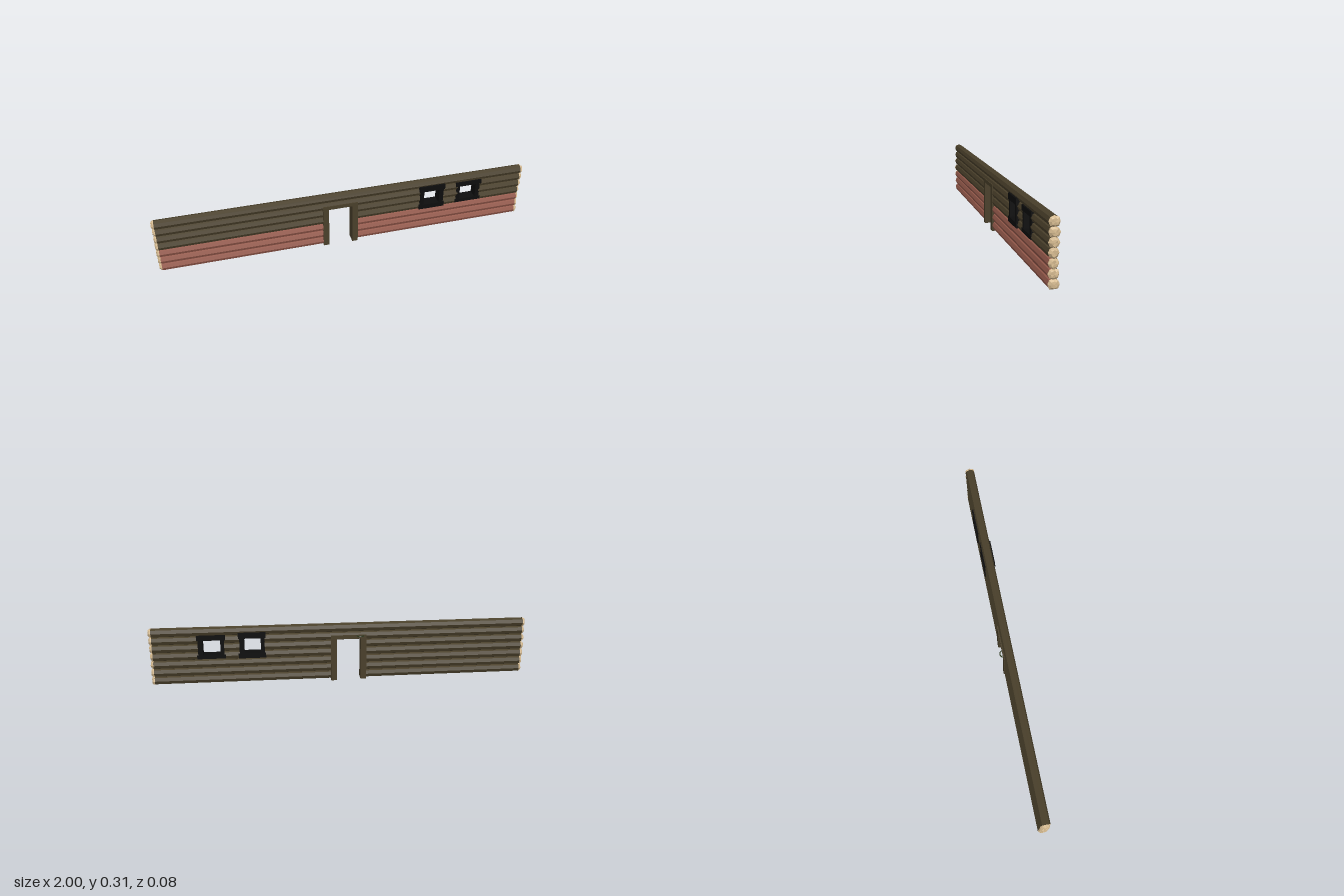
import * as THREE from 'three';

const mat = (name, color, extra = {}) => {
  const m = new THREE.MeshStandardMaterial({ color, flatShading: true, ...extra });
  m.name = name;
  return m;
};

export function createModel() {
  const wood = mat('dark wood', 0x493f2a, { side: THREE.DoubleSide });
  const red = mat('red paint', 0x93584a, { side: THREE.DoubleSide });
  const cut = mat('cut wood', 0xd4b98f, { side: THREE.DoubleSide });
  const black = mat('black frame', 0x0d0d0d);
  const green = mat('green metal', 0x2d3a1c);

  const root = new THREE.Group();
  root.name = 'logWall';
  const Z = 0.004, R = 0.0245, PITCH = 0.0435, Y0 = 0.029, END = 0.984;

  const add = (parent, name, geometry, material, x, y, z) => {
    const mesh = new THREE.Mesh(geometry, material);
    mesh.name = name;
    mesh.position.set(x, y, z);
    parent.add(mesh);
    return mesh;
  };
  // Box given by its limits
  const board = (parent, name, material, x0, x1, y0, y1, z0, z1) =>
    add(parent, name, new THREE.BoxGeometry(x1 - x0, y1 - y0, z1 - z0), material,
      (x0 + x1) / 2, (y0 + y1) / 2, (z0 + z1) / 2);

  // Half of an eight-sided log lying along x
  const halfLog = (name, material, x0, x1, y, front) => {
    const g = new THREE.CylinderGeometry(R, R, x1 - x0, 4, 1, true,
      front ? -Math.PI / 2 : Math.PI / 2, Math.PI);
    g.rotateZ(Math.PI / 2);
    add(root, name, g, material, (x0 + x1) / 2, y, Z);
  };

  // Rough chopped end, its corners shifted by a rule that depends on position
  const logEnd = (y, side, seed) => {
    const g = new THREE.LatheGeometry([
      new THREE.Vector2(R, 0), new THREE.Vector2(R * 0.97, 0.006),
      new THREE.Vector2(R * 0.6, 0.014), new THREE.Vector2(0, 0.0145),
    ], 8);
    const p = g.attributes.position;
    for (let i = 0; i < p.count; i++) {
      const x = p.getX(i), h = p.getY(i), z = p.getZ(i);
      if (h === 0) continue;
      const n = Math.sin(Math.round(x * 1e4) * 1.7 + Math.round(z * 1e4) * 2.3 + seed * 5.1);
      const s = 1 + n * 0.12;
      p.setXYZ(i, x * s, h + n * 0.0015, z * s);
    }
    g.rotateZ(-side * Math.PI / 2);
    add(root, 'logEnd', g, cut, side * END, y, Z);
  };

  // Seven logs, broken by the doorway and the two windows
  const doorGap = [[-END, -0.118], [0.04, END]];
  const windowGap = [[0.41, 0.525], [0.62, 0.742]];
  for (let i = 0; i < 7; i++) {
    const y = Y0 + i * PITCH;
    let spans = i < 5 ? doorGap : [[-END, END]];
    if (i > 2 && i < 6) {
      const start = spans[spans.length - 1][0];
      spans = [...spans.slice(0, -1), [start, windowGap[0][0]],
        [windowGap[0][1], windowGap[1][0]], [windowGap[1][1], END]];
    }
    for (const [a, b] of spans) {
      halfLog('logFront', i < 3 ? red : wood, a, b, y, true);
      halfLog('logBack', wood, a, b, y, false);
    }
    for (const side of [-1, 1]) logEnd(y, side, i + side * 0.37);
  }

  // Door frame
  const door = new THREE.Group();
  door.name = 'doorFrame';
  root.add(door);
  board(door, 'rightJamb', wood, -0.134, -0.103, 0.003, 0.25, -0.0235, 0.03);
  board(door, 'leftJamb', wood, 0.024, 0.055, 0, 0.25, -0.0235, 0.03);
  board(door, 'lintel', wood, -0.134, 0.055, 0.232, 0.252, -0.0245, 0.031);

  // Window frames: two posts between overhanging boards
  const windowFrame = (x0, x1, y0, y1, hx0, hx1, hy0, hy1, z0, z1) => {
    const f = new THREE.Group();
    f.name = 'windowFrame';
    root.add(f);
    board(f, 'rightPost', black, x0 + 0.006, hx0, y0 + 0.004, y1 - 0.004, z0 + 0.002, z1 - 0.003);
    board(f, 'leftPost', black, hx1, x1 - 0.006, y0 + 0.004, y1 - 0.004, z0 + 0.002, z1 - 0.003);
    board(f, 'sill', black, x0, x1, y0, hy0, z0, z1);
    board(f, 'head', black, x0, x1, hy1, y1, z0, z1);
  };
  windowFrame(0.398, 0.541, 0.144, 0.283, 0.424, 0.511, 0.17, 0.252, -0.024, 0.035);
  windowFrame(0.608, 0.755, 0.148, 0.273, 0.633, 0.725, 0.167, 0.248, -0.027, 0.029);

  // Small half ring behind the door head
  const ring = new THREE.TorusGeometry(0.018, 0.003, 5, 10, Math.PI);
  ring.rotateX(-Math.PI / 2);
  add(root, 'hangingRing', ring, green, -0.1, 0.248, -0.02);

  return root;
}
